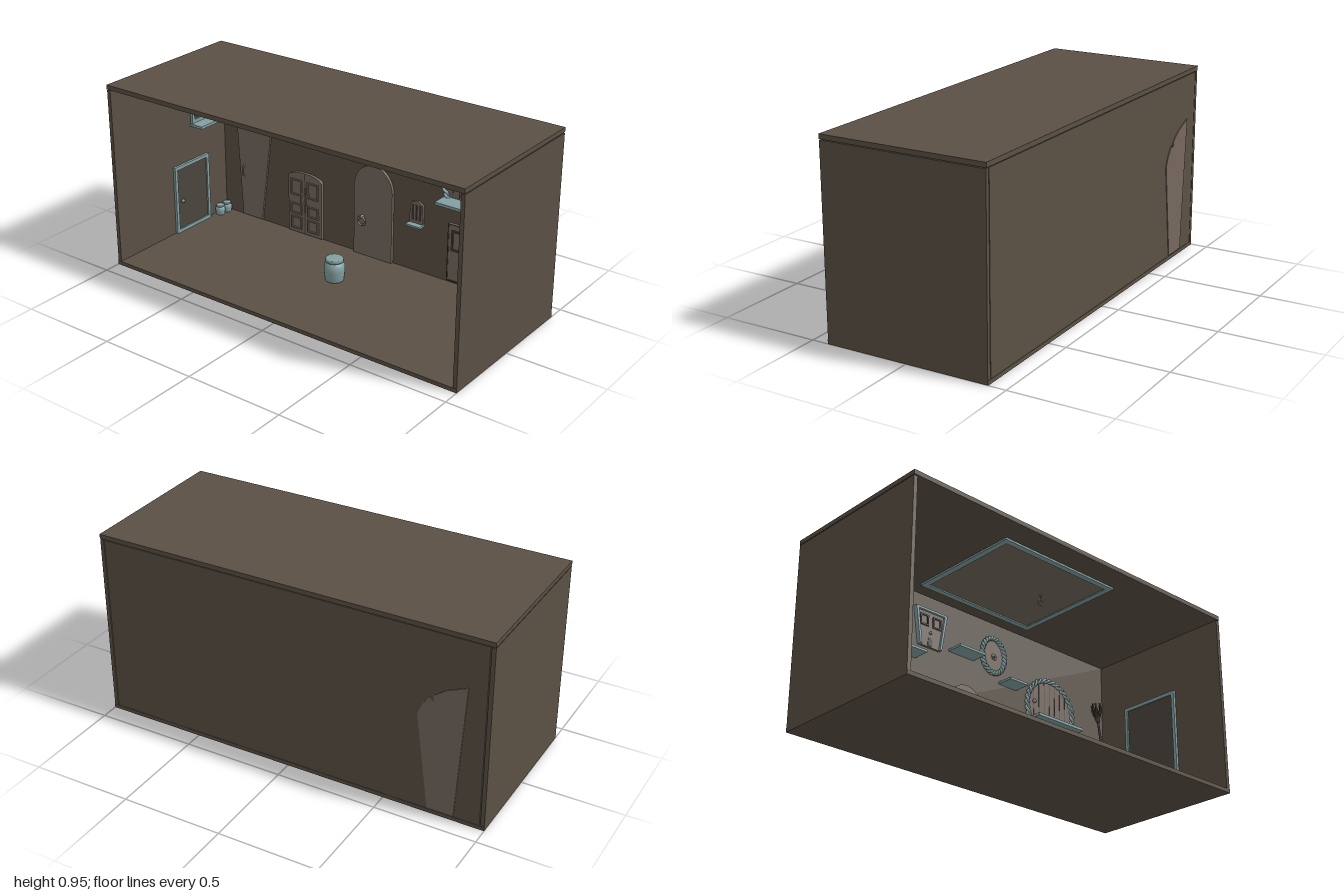
import * as THREE from 'three';

const mat = (color) => new THREE.MeshStandardMaterial({ color });
const WALL = mat(0x5a5044), DOOR = mat(0x75685e), TRIM = mat(0x84a0a2), DARK = mat(0x4b443d), METAL = mat(0x8a8882);
const BACK = -0.392; // inner face of the back wall

function add(parent, name, geometry, material, x = 0, y = 0, z = 0) {
  const m = new THREE.Mesh(geometry, material);
  m.name = name;
  m.position.set(x, y, z);
  parent.add(m);
  return m;
}
// Box given by its limits
const box = (p, name, material, x0, x1, y0, y1, z0, z1) =>
  add(p, name, new THREE.BoxGeometry(x1 - x0, y1 - y0, z1 - z0), material, (x0 + x1) / 2, (y0 + y1) / 2, (z0 + z1) / 2);
const slab = (p, name, material, shape, depth, z = 0) =>
  add(p, name, new THREE.ExtrudeGeometry(shape, { depth, bevelEnabled: false, curveSegments: 20 }), material, 0, 0, z);
const poly = (pts) => new THREE.Shape(pts.map(([x, y]) => new THREE.Vector2(x, y)));

function group(parent, name, z = BACK) {
  const g = new THREE.Group();
  g.name = name;
  g.position.z = z;
  parent.add(g);
  return g;
}
// Four-sided frame
function frame(p, name, material, x0, x1, y0, y1, w, depth, z = 0) {
  const s = poly([[x0, y0], [x1, y0], [x1, y1], [x0, y1]]);
  s.holes.push(poly([[x0 + w, y0 + w], [x0 + w, y1 - w], [x1 - w, y1 - w], [x1 - w, y0 + w]]));
  return slab(p, name, material, s, depth, z);
}
// Straight sides with a curved top
function arch(x0, x1, y0, ySide, yTop) {
  const s = new THREE.Shape(), c = (x0 + x1) / 2, k = (x1 - x0) * 0.25;
  s.moveTo(x0, y0);
  s.lineTo(x1, y0);
  s.lineTo(x1, ySide);
  s.bezierCurveTo(x1 - k * 0.1, ySide + (yTop - ySide) * 0.6, c + k, yTop, c, yTop);
  s.bezierCurveTo(c - k, yTop, x0 + k * 0.1, ySide + (yTop - ySide) * 0.6, x0, ySide);
  return s;
}
// Upright pull handle with two end mounts
function pull(p, x, y, h, z) {
  const path = new THREE.CatmullRomCurve3([[0, -h, 0], [0, -h * 0.6, 0.014], [0, h * 0.6, 0.014], [0, h, 0]].map((v) => new THREE.Vector3(...v)));
  add(p, 'pullHandle', new THREE.TubeGeometry(path, 12, 0.004, 6), METAL, x, y, z);
}
function ringHandle(p, x, y, z, r) {
  add(p, 'knocker', new THREE.SphereGeometry(0.011, 10, 8), METAL, x, y + r, z);
  add(p, 'handleRing', new THREE.TorusGeometry(r, 0.005, 6, 20), METAL, x, y, z + 0.008);
}
// Two twisted strands following an ellipse arc
class Strand extends THREE.Curve {
  constructor(o) { super(); this.o = o; }
  getPoint(t, target = new THREE.Vector3()) {
    const { x, y, rx, ry, a0, a1, turns, phase, r } = this.o;
    const a = a0 + (a1 - a0) * t, h = turns * 2 * Math.PI * t + phase, d = r * Math.cos(h);
    return target.set(x + (rx + d) * Math.cos(a), y + (ry + d) * Math.sin(a), r * Math.sin(h) + 0.016);
  }
}
function rope(p, o) {
  for (const phase of [0, Math.PI])
    add(p, 'ropeStrand', new THREE.TubeGeometry(new Strand({ ...o, phase, r: 0.007 }), 180, 0.0075, 6), TRIM);
}
function jar(p, x, z, r, h) {
  const pts = [[0, 0], [0.78, 0], [0.9, 0.05], [1, 0.45], [0.98, 0.7], [0.72, 0.8], [0.72, 0.84], [0.86, 0.86], [0.86, 0.97], [0.78, 1], [0, 1]];
  const g = new THREE.LatheGeometry(pts.map(([a, b]) => new THREE.Vector2(a * r, b * h)), 20);
  add(p, 'jar', g, TRIM, x, 0.02, z);
}

function createModel() {
  const root = new THREE.Group();
  root.name = 'doorRoom';

  // Room shell
  box(root, 'floor', WALL, -1, 1, 0, 0.02, -0.414, 0.416);
  box(root, 'ceiling', WALL, -1, 1, 0.932, 0.955, -0.414, 0.416);
  box(root, 'backWall', WALL, -0.976, 0.976, 0.02, 0.928, -0.412, BACK);
  box(root, 'rightWall', WALL, -1, -0.98, 0.02, 0.928, -0.412, 0.414);
  box(root, 'leftWall', WALL, 0.98, 1, 0.02, 0.928, -0.412, 0.414);

  // Crooked door reaching through the back wall
  const crooked = group(root, 'crookedDoor', 0);
  slab(crooked, 'crookedPanel', DOOR, poly([[-0.85, 0.025], [-0.72, 0.025], [-0.658, 0.505], [-0.68, 0.56], [-0.715, 0.607],
    [-0.73, 0.59], [-0.735, 0.622], [-0.785, 0.66], [-0.89, 0.705], [-0.873, 0.42]]), 0.034, -0.416);
  pull(crooked, -0.835, 0.28, 0.032, -0.383);

  // Panelled double door
  const panelled = group(root, 'panelledDoubleDoor');
  slab(panelled, 'doorLeaves', DOOR, arch(-0.535, -0.322, 0.025, 0.335, 0.367), 0.016);
  box(panelled, 'seam', DARK, -0.431, -0.426, 0.025, 0.364, 0, 0.0175);
  for (const s of [-1, 1]) {
    const x = -0.4285 + s * 0.053;
    for (const [y0, y1] of [[0.045, 0.115], [0.13, 0.19], [0.235, 0.325]])
      frame(panelled, 'panelMoulding', DOOR, x - 0.036, x + 0.036, y0, y1, 0.008, 0.007, 0.016);
    pull(panelled, -0.4285 + s * 0.016, 0.225, 0.028, 0.016);
  }

  // Tall pointed door
  const tall = group(root, 'tallArchedDoor');
  slab(tall, 'tallPanel', DOOR, arch(-0.117, 0.113, 0.02, 0.4, 0.52), 0.016);
  ringHandle(tall, -0.064, 0.21, 0.018, 0.022);

  // Double door with windows
  const windowed = group(root, 'windowedDoubleDoor');
  for (const [x0, x1] of [[0.438, 0.561], [0.565, 0.688]]) {
    box(windowed, 'doorLeaf', DOOR, x0, x1, 0.033, 0.338, 0, 0.014);
    frame(windowed, 'leafEdge', DARK, x0, x1, 0.033, 0.338, 0.006, 0.016);
    frame(windowed, 'windowFrame', DARK, x0 + 0.023, x1 - 0.023, 0.2, 0.308, 0.009, 0.021);
  }

  // Small barred window with sill
  const little = group(root, 'littleWindow');
  slab(little, 'littlePanel', DOOR, arch(0.215, 0.292, 0.28, 0.37, 0.4), 0.012);
  for (const x of [0.233, 0.254, 0.275]) box(little, 'bar', DARK, x - 0.004, x + 0.004, 0.3, 0.38, 0, 0.017);
  box(little, 'littleSill', TRIM, 0.212, 0.296, 0.273, 0.283, 0, 0.045);

  // Half-round door with rope surround
  const half = group(root, 'halfRoundDoor');
  const cx = 0.567, cy = 0.555, a0 = -0.6, a1 = Math.PI + 0.6;
  const dome = new THREE.Shape();
  dome.absarc(cx, cy, 0.155, a0, a1, false);
  slab(half, 'domePanel', DOOR, dome, 0.012);
  for (let i = -3; i <= 3; i++) {
    const x = i * 0.037, top = cy + Math.sqrt(0.15 ** 2 - x * x);
    box(half, 'plankSeam', DARK, cx + x - 0.0015, cx + x + 0.0015, 0.47, top, 0, 0.0135);
  }
  rope(half, { x: cx, y: cy, rx: 0.16, ry: 0.16, a0, a1, turns: 11 });
  add(half, 'knob', new THREE.SphereGeometry(0.011, 10, 8), METAL, 0.455, 0.575, 0.018);
  box(half, 'sill', TRIM, 0.412, 0.722, 0.459, 0.474, 0, 0.1);

  // Oval door with rope surround
  const oval = group(root, 'ovalDoor');
  const disc = new THREE.Shape();
  disc.absellipse(0.172, 0.738, 0.076, 0.096, 0, Math.PI * 2, false, 0);
  slab(oval, 'ovalPanel', DOOR, disc, 0.012);
  rope(oval, { x: 0.172, y: 0.738, rx: 0.075, ry: 0.095, a0: 0, a1: Math.PI * 2, turns: 13 });
  ringHandle(oval, 0.172, 0.727, 0.014, 0.011);

  // Tapered door with trim on three sides
  const taper = group(root, 'taperedDoor');
  slab(taper, 'taperedPanel', DOOR, poly([[-0.305, 0.65], [-0.175, 0.65], [-0.145, 0.84], [-0.333, 0.84]]), 0.012);
  slab(taper, 'taperedTrim', TRIM, poly([[-0.308, 0.65], [-0.296, 0.65], [-0.321, 0.836], [-0.157, 0.836],
    [-0.184, 0.65], [-0.172, 0.65], [-0.14, 0.848], [-0.338, 0.848]]), 0.024);
  for (const x of [-0.279, -0.2]) frame(taper, 'taperedWindow', DARK, x - 0.026, x + 0.026, 0.758, 0.818, 0.008, 0.018);
  slab(taper, 'petDoor', DARK, arch(-0.253, -0.227, 0.655, 0.685, 0.7), 0.015);
  add(taper, 'knob', new THREE.SphereGeometry(0.008, 10, 8), METAL, -0.24, 0.725, 0.016);

  // Wall shelves
  for (const [x0, x1, y] of [[-0.11, 0.053, 0.682], [-0.517, -0.317, 0.577], [0.224, 0.343, 0.609]])
    box(root, 'shelf', TRIM, x0, x1, y - 0.006, y + 0.006, BACK, BACK + 0.09);

  // Side wall doors and window, built facing forward and turned
  function sideDoor(name, side, z, w, y0, y1) {
    const g = group(root, name, z);
    g.position.x = side * 0.98;
    g.rotation.y = -side * Math.PI / 2;
    frame(g, 'sideFrame', TRIM, -w / 2, w / 2, y0, y1, 0.018, 0.014);
    box(g, 'sidePanel', DARK, -w / 2 + 0.016, w / 2 - 0.016, y0 + 0.01, y1 - 0.016, 0, 0.006);
    return g;
  }
  const low = sideDoor('rightWallDoor', -1, -0.12, 0.26, 0.02, 0.39);
  add(low, 'knob', new THREE.SphereGeometry(0.01, 10, 8), METAL, -0.08, 0.19, 0.014);
  sideDoor('rightWallWindow', -1, -0.23, 0.19, 0.59, 0.78);
  box(root, 'rightWallShelf', TRIM, -0.98, -0.9, 0.575, 0.589, -0.34, -0.13);
  const high = sideDoor('leftWallDoor', 1, -0.05, 0.34, 0.02, 0.63);
  ringHandle(high, -0.1, 0.3, 0.012, 0.014);

  // Ceiling hatch with hanging ring
  const hatch = group(root, 'ceilingHatch', -0.015);
  hatch.position.y = 0.934;
  hatch.rotation.x = Math.PI / 2;
  frame(hatch, 'hatchFrame', TRIM, -0.357, 0.353, -0.305, 0.305, 0.03, 0.012);
  box(hatch, 'hatchPanel', DOOR, -0.33, 0.325, -0.28, 0.28, 0, 0.006);
  add(root, 'hatchChain', new THREE.CylinderGeometry(0.003, 0.003, 0.028, 6), METAL, 0.14, 0.915, 0);
  add(root, 'hatchRing', new THREE.TorusGeometry(0.015, 0.004, 6, 18), METAL, 0.14, 0.886, 0);

  // Upturned broom
  const broom = group(root, 'broom', -0.36);
  broom.position.set(0.952, 0.32, -0.36);
  broom.rotation.z = 0.16;
  add(broom, 'broomStick', new THREE.CylinderGeometry(0.006, 0.007, 0.28, 8), DARK, 0, 0.14, 0);
  add(broom, 'binding', new THREE.CylinderGeometry(0.016, 0.01, 0.03, 8), DARK, 0, 0.28, 0);
  for (let i = 0; i < 12; i++) {
    const a = i * 2.4, r = 0.006 + 0.018 * Math.sqrt(i / 12);
    const tip = new THREE.Vector3(Math.cos(a) * r, 0.345 + 0.025 * Math.sin(i * 1.9), Math.sin(a) * r);
    const path = new THREE.QuadraticBezierCurve3(new THREE.Vector3(0, 0.28, 0), new THREE.Vector3(tip.x * 1.4, 0.31, tip.z * 1.4), tip);
    add(broom, 'bristle', new THREE.TubeGeometry(path, 5, 0.0055, 5), DARK);
  }

  // Jars on the floor
  jar(root, -0.01, -0.07, 0.052, 0.122);
  jar(root, -0.952, -0.31, 0.026, 0.055);
  jar(root, -0.948, -0.36, 0.026, 0.055);
  jar(root, 0.887, -0.33, 0.036, 0.112);
  jar(root, 0.941, -0.28, 0.036, 0.112);
  return root;
}

export { createModel };
